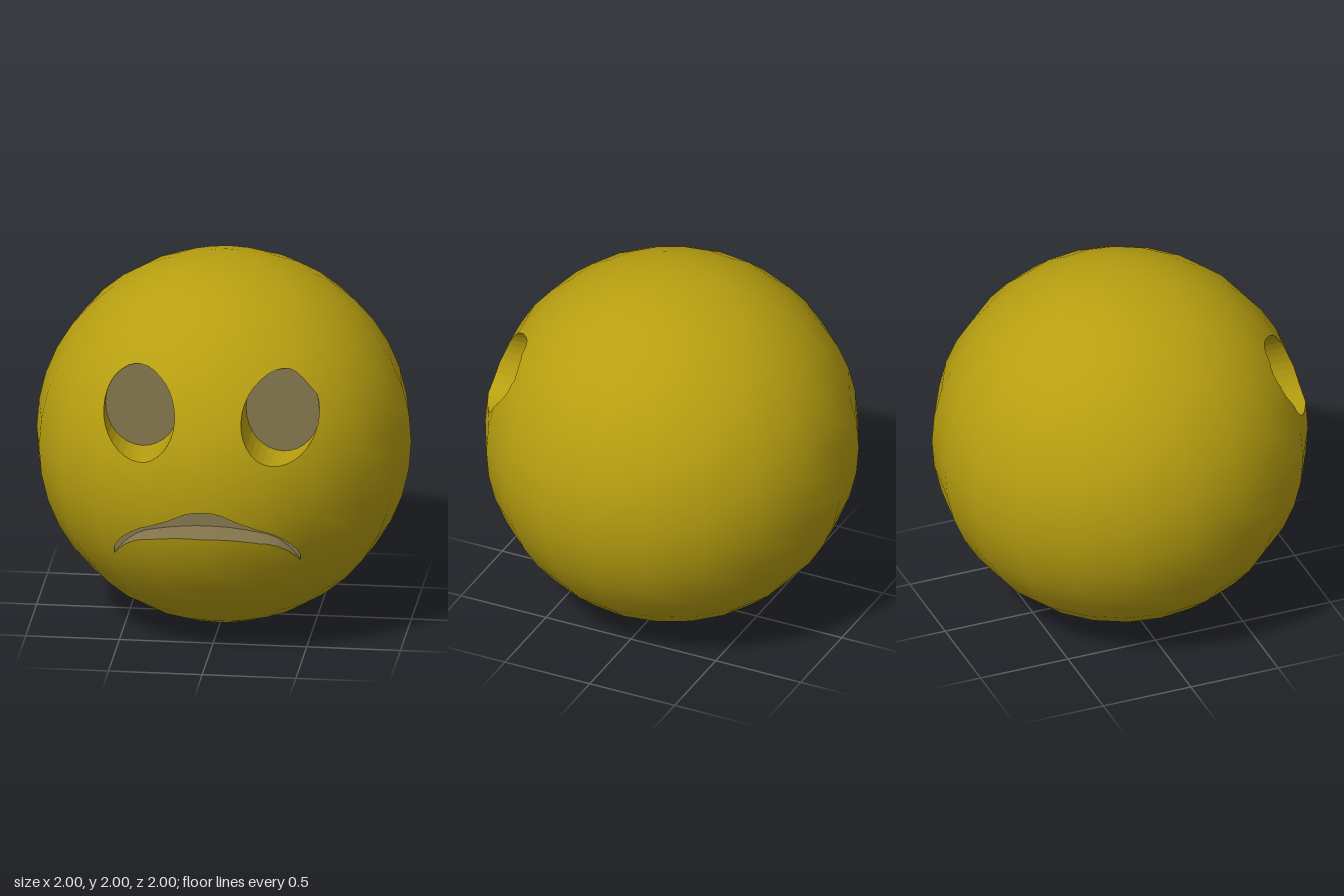
import * as THREE from 'three';
import { toCreasedNormals } from 'three/addons/utils/BufferGeometryUtils.js';

const EYE_FLOOR = 0.65, MOUTH_FLOOR = 0.74;
const yellow = new THREE.MeshStandardMaterial({ color: 0xb79f10, side: THREE.DoubleSide });
const brown = new THREE.MeshStandardMaterial({ color: 0x86784e, side: THREE.DoubleSide });

// Split a convex polygon by the line a-b (seen along z): [left side, right side]
function split(poly, a, b) {
  const side = p => (b.x - a.x) * (p.y - a.y) - (b.y - a.y) * (p.x - a.x);
  const left = [], right = [];
  poly.forEach((p, i) => {
    const q = poly[(i + 1) % poly.length], dp = side(p), dq = side(q);
    (dp >= 0 ? left : right).push(p);
    if ((dp >= 0) !== (dq >= 0)) {
      const m = p.clone().lerp(q, dp / (dp - dq));
      left.push(m);
      right.push(m);
    }
  });
  return [left, right];
}

// Remove a convex, counter-clockwise hole from a convex polygon
function subtract(poly, hole) {
  const pieces = [];
  let rest = poly;
  for (let i = 0; i < hole.length; i++) {
    const [inside, outside] = split(rest, hole[i], hole[(i + 1) % hole.length]);
    if (outside.length > 2) pieces.push(outside);
    if (inside.length < 3) return [poly];
    rest = inside;
  }
  return pieces;
}

// Ball skin with the holes cut through its front facets
function cutBall(ball, holes) {
  const src = ball.toNonIndexed().attributes.position;
  const pos = [], nor = [];
  for (let i = 0; i < src.count; i += 3) {
    const tri = [0, 1, 2].map(k => new THREE.Vector3().fromBufferAttribute(src, i + k));
    let pieces = [tri];
    if (tri.every(p => p.z > 0.2)) {
      for (const hole of holes) pieces = pieces.flatMap(p => subtract(p, hole));
    }
    for (const p of pieces) {
      for (let k = 1; k < p.length - 1; k++) {
        for (const v of [p[0], p[k], p[k + 1]]) {
          pos.push(v.x, v.y, v.z);
          nor.push(...v.clone().normalize().toArray());
        }
      }
    }
  }
  const geo = new THREE.BufferGeometry();
  geo.setAttribute('position', new THREE.Float32BufferAttribute(pos, 3));
  geo.setAttribute('normal', new THREE.Float32BufferAttribute(nor, 3));
  return geo;
}

// Side wall of a recess, from the ball surface back to its floor
function recessWall(outline, floorZ, surfaceZ) {
  const pts = outline.flatMap((p, i) => {
    const q = outline[(i + 1) % outline.length];
    return [0, 0.25, 0.5, 0.75].map(t => p.clone().lerp(q, t));
  });
  const pos = [], index = [], n = pts.length;
  pts.forEach((p, i) => {
    pos.push(p.x, p.y, Math.max(surfaceZ(p.x, p.y), floorZ), p.x, p.y, floorZ);
    const a = 2 * i, b = 2 * ((i + 1) % n);
    index.push(a, b, a + 1, b, b + 1, a + 1);
  });
  const geo = new THREE.BufferGeometry();
  geo.setAttribute('position', new THREE.Float32BufferAttribute(pos, 3));
  geo.setIndex(index);
  return toCreasedNormals(geo, 0.7);
}

function recessFloor(outline, z) {
  return new THREE.ShapeGeometry(new THREE.Shape(outline)).translate(0, 0, z);
}

export function createModel() {
  const group = new THREE.Group();
  const add = (name, geo, mat) => {
    const mesh = new THREE.Mesh(geo, mat);
    mesh.name = name;
    mesh.position.y = 1;
    group.add(mesh);
  };

  // Faceted ball and its height at any point of the front
  const ball = new THREE.SphereGeometry(1, 20, 20);
  const probe = new THREE.Mesh(ball);
  const ray = new THREE.Raycaster();
  const surfaceZ = (x, y) => {
    ray.set(new THREE.Vector3(x, y, 2), new THREE.Vector3(0, 0, -1));
    const hit = ray.intersectObject(probe)[0];
    return hit ? hit.point.z : Math.sqrt(Math.max(0, 1 - x * x - y * y));
  };

  // Oval eye outline, drawn in where the floor would leave the ball
  const eyeOutline = cx => Array.from({ length: 32 }, (_, i) => {
    const a = i / 32 * Math.PI * 2;
    const at = s => new THREE.Vector2(cx + 0.198 * s * Math.cos(a), 0.387 + 0.235 * s * Math.sin(a));
    const fits = s => surfaceZ(at(s).x, at(s).y) >= EYE_FLOOR;
    if (fits(1)) return at(1);
    let lo = 0.5, hi = 1;
    for (let k = 0; k < 16; k++) {
      const mid = (lo + hi) / 2;
      if (fits(mid)) lo = mid; else hi = mid;
    }
    return at(lo);
  });
  const eyes = { leftEye: eyeOutline(0.392), rightEye: eyeOutline(-0.358) };

  // Downturned mouth: half of the upper and lower lip lines, mirrored
  const half = (points) => {
    const right = points.map(([x, y]) => new THREE.Vector2(x, y - 1));
    const left = right.slice(1).reverse().map(p => new THREE.Vector2(-p.x, p.y));
    return [...left, ...right];
  };
  const upper = half([[0, 0.905], [0.05, 0.9], [0.1, 0.885], [0.2, 0.835], [0.28, 0.803],
    [0.34, 0.778], [0.4, 0.738], [0.45, 0.695], [0.48, 0.655], [0.497, 0.61]]);
  const lower = half([[0, 0.745], [0.06, 0.744], [0.12, 0.741], [0.19, 0.733], [0.26, 0.723],
    [0.33, 0.71], [0.38, 0.69], [0.43, 0.655], [0.47, 0.615], [0.497, 0.578]]);
  const mouth = [...lower, ...upper.slice().reverse()];
  const mouthStrips = lower.slice(1).map((p, i) => [lower[i], p, upper[i + 1], upper[i]]);

  // Head
  add('head', cutBall(ball, [...Object.values(eyes), ...mouthStrips]), yellow);

  // Eye sockets
  for (const [name, outline] of Object.entries(eyes)) {
    add(name + 'Wall', recessWall(outline, EYE_FLOOR, surfaceZ), yellow);
    add(name + 'Floor', recessFloor(outline, EYE_FLOOR), brown);
  }

  // Mouth recess
  add('mouthWall', recessWall(mouth, MOUTH_FLOOR, surfaceZ), brown);
  add('mouthFloor', recessFloor(mouth, MOUTH_FLOOR), brown);
  return group;
}
